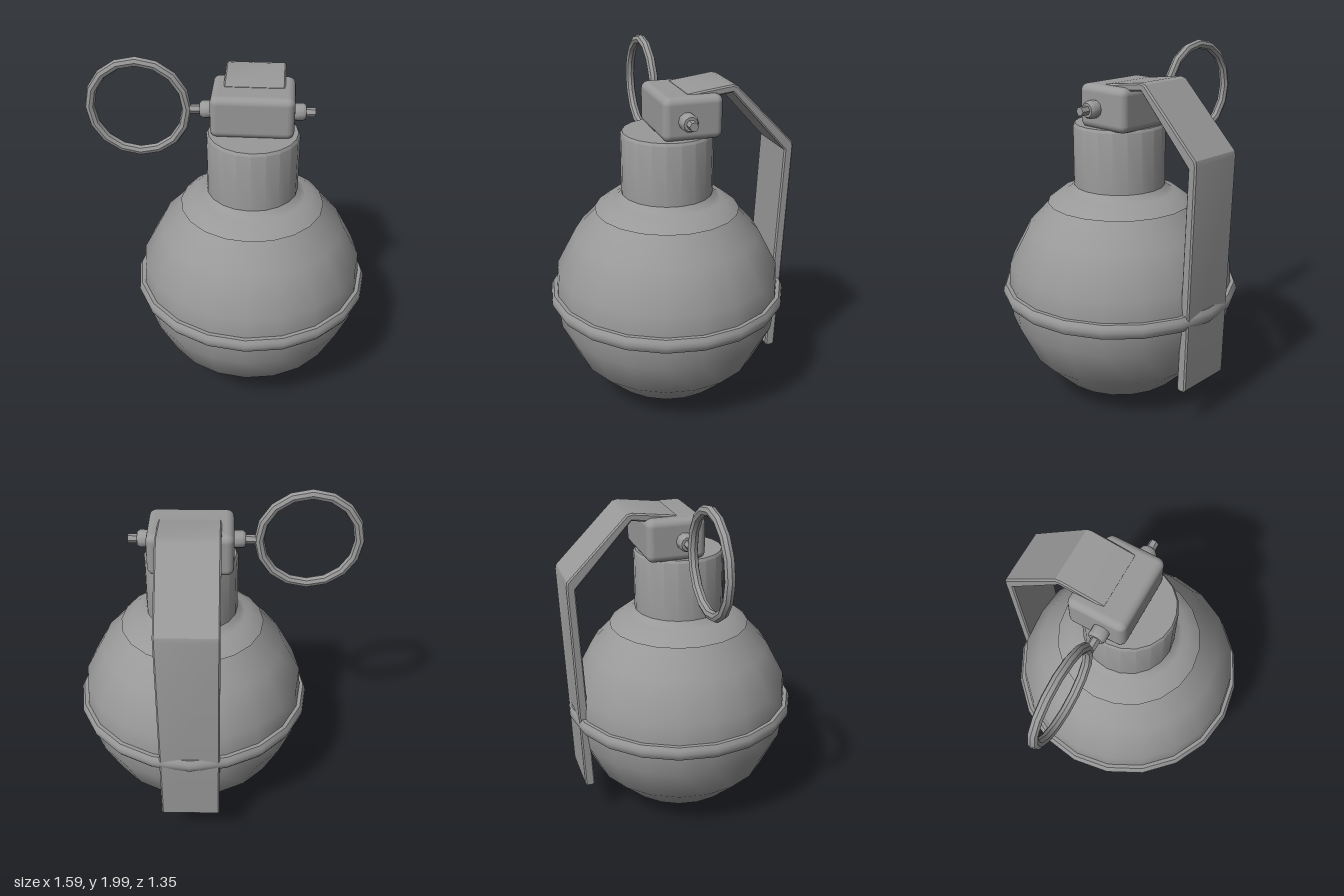
import * as THREE from 'three';
import { toCreasedNormals } from 'three/addons/utils/BufferGeometryUtils.js';
import { RoundedBoxGeometry } from 'three/addons/geometries/RoundedBoxGeometry.js';

const CX = 0.12; // axis of the body
const PIN_Y = 1.71, PIN_Z = -0.038;

export function createModel() {
  const group = new THREE.Group();
  const grey = new THREE.MeshStandardMaterial({ color: 0x999999 });
  grey.name = 'grey metal';

  const add = (name, geometry, x = 0, y = 0, z = 0) => {
    const mesh = new THREE.Mesh(geometry, grey);
    mesh.name = name;
    mesh.position.set(x, y, z);
    group.add(mesh);
    return mesh;
  };
  // turned parts, profile given as [radius, height] from the bottom up
  const turned = (name, profile, crease = 0.6) => {
    const points = profile.map(([r, y]) => new THREE.Vector2(r, y));
    return add(name, toCreasedNormals(new THREE.LatheGeometry(points, 20), crease), CX);
  };

  // round body
  turned('body', [[0, 0.01], [0.17, 0.03], [0.35, 0.105], [0.52, 0.27], [0.625, 0.49],
    [0.642, 0.65], [0.63, 0.81], [0.52, 1.02], [0.38, 1.17], [0.2, 1.2]]);
  // seam band around the middle
  turned('band', [[0.62, 0.61], [0.66, 0.61], [0.672, 0.63], [0.676, 0.65],
    [0.672, 0.67], [0.66, 0.69], [0.62, 0.69]], 0.8);
  // collar and neck
  turned('collar', [[0.36, 1.16], [0.405, 1.16], [0.335, 1.215], [0.3, 1.22],
    [0.275, 1.235], [0.25, 1.262], [0.2, 1.265]], 0.75);
  turned('neck', [[0.255, 1.2], [0.255, 1.59], [0.245, 1.605], [0, 1.605]]);

  // head block
  add('head', new RoundedBoxGeometry(0.45, 0.235, 0.33, 3, 0.04), 0.115, 1.715, -0.078);

  // six-sided rods along x
  const rod = (name, x0, x1, r) => {
    const g = new THREE.CylinderGeometry(r, r, x1 - x0, 6);
    g.rotateZ(Math.PI / 2);
    add(name, toCreasedNormals(g, 0.6), (x0 + x1) / 2, PIN_Y, PIN_Z);
  };
  rod('pin', -0.225, 0.45, 0.025);
  // bosses with a softened outer rim
  for (const side of [-1, 1]) {
    const profile = [[0.048, 0], [0.048, 0.05], [0.038, 0.065], [0, 0.065]]
      .map(([r, y]) => new THREE.Vector2(r, y));
    const g = new THREE.LatheGeometry(profile, 10);
    g.rotateZ(-side * Math.PI / 2);
    add(side < 0 ? 'rightBoss' : 'leftBoss', toCreasedNormals(g, 0.7),
      0.115 + side * 0.22, PIN_Y, PIN_Z);
  }

  // pull ring
  add('ring', toCreasedNormals(new THREE.TorusGeometry(0.264, 0.027, 8, 16), 0.6),
    -0.505, PIN_Y, PIN_Z);

  // bent safety lever, side outline as [z, y]
  const outline = [[-0.06, 1.835], [-0.305, 1.867], [-0.335, 1.86], [-0.67, 1.525], [-0.676, 1.5],
    [-0.637, 0.25], [-0.625, 0.235], [-0.59, 0.235], [-0.58, 0.25], [-0.626, 1.48],
    [-0.31, 1.825], [-0.06, 1.795]];
  const shape = new THREE.Shape(outline.map(([z, y]) => new THREE.Vector2(z, y)));
  const lever = new THREE.ExtrudeGeometry(shape, {
    depth: 0.314, bevelEnabled: true, bevelThickness: 0.008, bevelSize: 0.008,
    bevelOffset: -0.008, bevelSegments: 1,
  });
  lever.rotateY(-Math.PI / 2);
  add('lever', toCreasedNormals(lever, 0.4), 0.277);

  return group;
}
